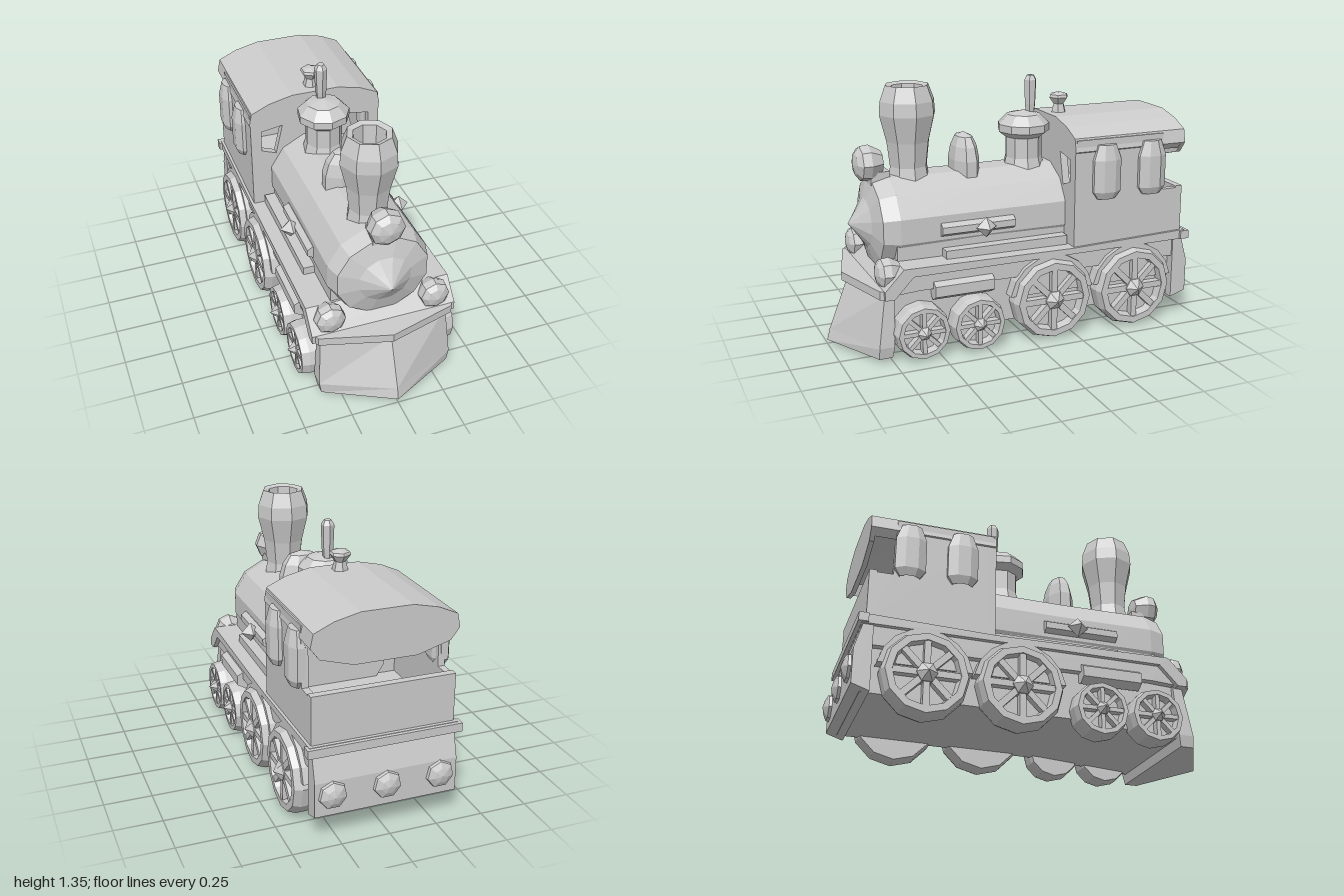
import * as THREE from 'three';

const mat = new THREE.MeshStandardMaterial({ color: 0xcccccc, flatShading: true, side: THREE.DoubleSide });

export function createModel() {
  const model = new THREE.Group();

  const add = (name, geo, x = 0, y = 0, z = 0, parent = model) => {
    const mesh = new THREE.Mesh(geo, mat);
    mesh.name = name;
    mesh.position.set(x, y, z);
    parent.add(mesh);
    return mesh;
  };
  const box = (name, w, h, d, x, y, z) => add(name, new THREE.BoxGeometry(w, h, d), x, y, z);
  const lathe = (pts, sides) => new THREE.LatheGeometry(pts.map(p => new THREE.Vector2(...p)), sides);
  const shapeOf = pts => new THREE.Shape(pts.map(p => new THREE.Vector2(...p)));
  // Front outline (x, y) extruded from z0 to z1
  const alongZ = (shape, z0, z1) =>
    new THREE.ExtrudeGeometry(shape, { depth: z1 - z0, bevelEnabled: false }).translate(0, 0, z0);
  // Side outline (z, y) extruded from x0 to x1
  const alongX = (pts, x0, x1) =>
    new THREE.ExtrudeGeometry(shapeOf(pts), { depth: x1 - x0, bevelEnabled: false })
      .rotateY(-Math.PI / 2).translate(x1, 0, 0);

  // Frame, skirts and running board
  add('chassis', alongX([[-0.9, 0.13], [0.2, 0.12], [0.75, 0.08], [0.78, 0.38], [0.7, 0.47], [-0.9, 0.47]], -0.32, 0.32));
  add('skirt', alongX([[-0.9, 0.36], [0.6, 0.37], [0.76, 0.36], [0.66, 0.47], [-0.9, 0.47]], -0.36, 0.36));
  add('runningBoard', alongX([[-0.92, 0.46], [0.64, 0.455], [0.74, 0.35], [0.79, 0.35], [0.79, 0.395],
    [0.69, 0.5], [-0.25, 0.49], [-0.92, 0.51]], -0.385, 0.385));
  add('frontDeck', alongZ(shapeOf([[-0.385, 0.74], [0.385, 0.74], [0.36, 0.81], [0, 0.91], [-0.36, 0.81]]), 0, 0.045)
    .rotateX(Math.PI / 2), 0, 0.395, 0);

  // Pointed cowcatcher, lofted from three plan outlines: [y, side x, back z, side z, tip z]
  const rows = [[0.03, 0.35, 0.75, 0.82, 1], [0.09, 0.36, 0.74, 0.82, 0.985], [0.36, 0.34, 0.73, 0.78, 0.88]];
  const verts = [], index = [];
  rows.forEach(([y, w, b, s, t]) =>
    verts.push(-w, y, b, -w, y, s, 0, y, t, w, y, s, w, y, b));
  for (let r = 0; r < 2; r++) for (let i = 0; i < 5; i++) {
    const a = r * 5 + i, b = r * 5 + (i + 1) % 5;
    index.push(a, b, b + 5, a, b + 5, a + 5);
  }
  for (let i = 1; i < 4; i++) index.push(0, i + 1, i, 10, 10 + i, 11 + i);
  const catcher = new THREE.BufferGeometry();
  catcher.setAttribute('position', new THREE.Float32BufferAttribute(verts, 3));
  catcher.setIndex(index);
  catcher.computeVertexNormals();
  add('cowcatcher', catcher);

  // Boiler with a pointed smokebox door
  add('boiler', lathe([[0, -0.32], [0.27, -0.32], [0.265, 0.2], [0.27, 0.66], [0.245, 0.745], [0.14, 0.775],
    [0.075, 0.815], [0, 0.865]], 12).rotateY(Math.PI / 12).rotateX(Math.PI / 2), 0, 0.65, 0).scale.set(1, 0.92, 1);
  box('boilerCradle', 0.5, 0.16, 0.94, 0, 0.53, 0.21);

  // Flared smokestack with a hollow mouth
  add('smokestack', lathe([[0.115, 0.84], [0.1, 0.93], [0.115, 1.06], [0.15, 1.2], [0.145, 1.27], [0.115, 1.35],
    [0.085, 1.34], [0.08, 1.24], [0, 1.22]], 8), 0, 0, 0.53);
  // Sand dome
  add('sandDome', lathe([[0.125, 0.84], [0.125, 0.94], [0.105, 1.01], [0.07, 1.06], [0, 1.08]], 8).rotateY(Math.PI / 8),
    0, 0, 0.225).scale.set(1.05, 1, 0.6);
  // Steam dome with whistles behind it
  add('steamDome', lathe([[0.12, 0.84], [0.1, 0.92], [0.1, 1.03], [0.14, 1.06], [0.14, 1.1], [0.09, 1.15], [0, 1.17]], 9),
    0, 0, -0.12);
  add('tallWhistle', lathe([[0.02, 1.12], [0.03, 1.2], [0.035, 1.33], [0.02, 1.355], [0, 1.355]], 6), 0, 0, -0.16);
  add('roofWhistle', lathe([[0.045, 1.13], [0.03, 1.19], [0.055, 1.225], [0.05, 1.24], [0.02, 1.25], [0, 1.25]], 6),
    0, 0, -0.33);

  // Lamps: one high, two on the front deck
  const lamp = lathe([[0, -0.075], [0.06, -0.065], [0.095, 0], [0.09, 0.045], [0.06, 0.07], [0, 0.085]], 8)
    .rotateX(Math.PI / 2);
  add('topLamp', lamp, 0, 0.96, 0.745);
  box('topLampBracket', 0.12, 0.12, 0.1, 0, 0.86, 0.7);
  for (const s of [-1, 1]) add('deckLamp', lamp, s * 0.28, 0.46, 0.74).scale.setScalar(0.85);

  // Spoked wheel, built facing +x
  const wheel = (side, y, z, r) => {
    const g = new THREE.Group();
    g.name = 'wheel';
    const spin = -Math.PI / 2;
    add('rim', lathe([[0, -0.13], [r * 0.95, -0.13], [r, -0.1], [r, -0.04], [r * 0.93, 0], [r * 0.77, 0],
      [r * 0.72, -0.045], [0, -0.045]], 12).rotateZ(spin), 0, 0, 0, g);
    add('hub', lathe([[r * 0.26, -0.05], [r * 0.24, 0], [r * 0.12, 0.02], [0, 0.038]], 6).rotateZ(spin), 0, 0, 0, g);
    for (let i = 0; i < 8; i++) {
      const spoke = new THREE.BoxGeometry(0.05, r * 0.65, r * 0.15).translate(-0.03, r * 0.45, 0);
      add('spoke', spoke, 0, 0, 0, g).rotation.x = i * Math.PI / 4;
    }
    g.position.set(side * 0.42, y, z);
    if (side < 0) g.rotation.y = Math.PI;
    model.add(g);
  };

  // Arched guard over each driving wheel
  const guard = (side, y, z, r) => {
    const pts = [];
    for (let i = 0; i <= 8; i++) {
      const a = Math.PI * (0.05 + 0.9 * i / 8);
      pts.push([z + r * Math.cos(a), y + r * Math.sin(a)]);
    }
    add('wheelGuard', alongX(pts, side > 0 ? 0.31 : -0.385, side > 0 ? 0.385 : -0.31));
  };

  for (const s of [-1, 1]) {
    for (const z of [-0.12, -0.6]) {
      wheel(s, 0.23, z, 0.22);
      guard(s, 0.23, z, 0.24);
    }
    for (const z of [0.3, 0.6]) wheel(s, 0.16, z, 0.145);

    // Steam cylinder, side pipe and its valve
    add('steamCylinder', new THREE.CylinderGeometry(0.055, 0.055, 0.32, 6).rotateX(Math.PI / 2), s * 0.345, 0.36, 0.37);
    add('sidePipe', new THREE.CylinderGeometry(0.035, 0.035, 0.4, 6).rotateX(Math.PI / 2), s * 0.26, 0.64, 0.25);
    add('valve', new THREE.OctahedronGeometry(0.055), s * 0.305, 0.64, 0.22);
    box('sideStep', 0.06, 0.06, 0.68, s * 0.28, 0.51, 0.1);

    // Cab side with an open rear corner
    const wall = [[-0.9, 0.48], [-0.25, 0.48], [-0.26, 1.06], [-0.77, 1.06], [-0.78, 0.75], [-0.9, 0.75]];
    add('cabSide', alongX(wall, s > 0 ? 0.335 : -0.37, s > 0 ? 0.37 : -0.335));
    // Bulging shutters
    for (const z of [-0.43, -0.7]) {
      add('shutter', lathe([[0.055, 0.74], [0.085, 0.78], [0.085, 0.95], [0.055, 1.03], [0, 1.03]], 8)
        .rotateY(Math.PI / 8), s * 0.37, 0, z).scale.set(0.6, 1, 1);
    }
  }

  // Cab front wall with two windows
  const front = shapeOf([[-0.37, 0.48], [0.37, 0.48], [0.37, 1], [0.34, 1.06], [0.14, 1.11], [-0.14, 1.11],
    [-0.34, 1.06], [-0.37, 1]]);
  for (const s of [-1, 1]) front.holes.push(new THREE.Path(
    [[0.23, 0.8], [0.31, 0.83], [0.31, 0.95], [0.19, 0.97]].map(([x, y]) => new THREE.Vector2(s * x, y))));
  add('cabFront', alongZ(front, -0.29, -0.25));
  box('cabBack', 0.74, 0.29, 0.04, 0, 0.615, -0.88);
  box('cabFloor', 0.7, 0.04, 0.64, 0, 0.5, -0.57);

  // Arched roof and the curved panel hanging from its rear edge
  const arch = [[0.375, 1.0], [0.36, 1.07], [0.26, 1.115], [0.13, 1.145]];
  const mirror = pts => pts.map(([x, y]) => [-x, y]).reverse();
  const inner = arch.map(([x, y]) => [x * 0.91, y - 0.035]);
  add('roof', alongZ(shapeOf([...arch, ...mirror(arch), ...inner.map(([x, y]) => [-x, y]), ...inner.slice().reverse()]),
    -0.89, -0.25));
  add('roofRearPanel', alongZ(shapeOf([...arch, ...mirror(arch), [-0.33, 0.94], [-0.16, 0.89], [0.16, 0.89],
    [0.33, 0.94]]), -0.905, -0.88));

  // Rear bumper, ledge and three round buffers
  add('rearBumper', alongX([[-0.95, 0.15], [-0.86, 0.12], [-0.86, 0.47], [-0.91, 0.47], [-0.95, 0.33]], -0.37, 0.37));
  box('rearLedge', 0.8, 0.045, 0.05, 0, 0.485, -0.915);
  for (const x of [-0.28, 0, 0.28]) {
    add('rearBuffer', lathe([[0.075, 0], [0.07, 0.02], [0.04, 0.035], [0, 0.045]], 7).rotateX(-Math.PI / 2), x, 0.26, -0.945);
  }
  return model;
}
